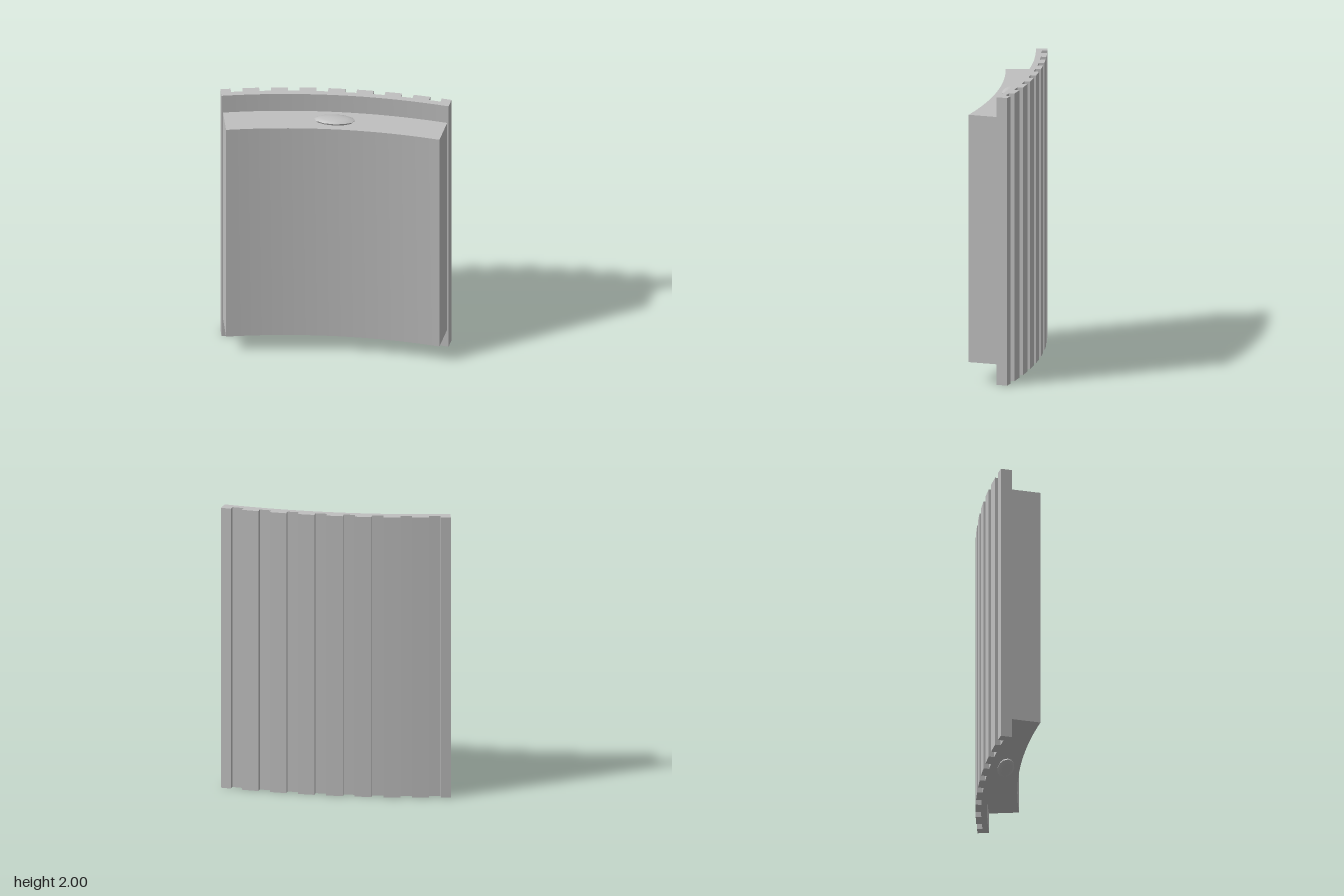
import * as THREE from 'three';
import { toCreasedNormals } from 'three/addons/utils/BufferGeometryUtils.js';

// Shared centre of all the arcs, in front of the panel
const CENTRE_Z = 4.185;
const R_FRONT = 4.08, R_JOIN = 4.285, R_GROOVE = 4.325, R_RIB = 4.363;

// Plan point at an angle on an arc (shape y becomes -z once laid flat)
const polar = (r, a) => new THREE.Vector2(r * Math.sin(a), r * Math.cos(a) - CENTRE_Z);

function arc(r, from, to, steps) {
  const points = [];
  for (let i = 0; i <= steps; i++) points.push(polar(r, from + (to - from) * i / steps));
  return points;
}

// Extrude a plan outline upwards from y0 to y1
function upright(points, y0, y1) {
  const geometry = new THREE.ExtrudeGeometry(new THREE.Shape(points), { depth: y1 - y0, bevelEnabled: false });
  geometry.rotateX(-Math.PI / 2).translate(0, y0, 0);
  return toCreasedNormals(geometry, 0.2);
}

export function createModel() {
  const group = new THREE.Group();
  const grey = new THREE.MeshStandardMaterial({ color: 0xc0c0c0 });
  grey.name = 'grey';

  const add = (name, geometry) => {
    const mesh = new THREE.Mesh(geometry, grey);
    mesh.name = name;
    group.add(mesh);
    return mesh;
  };

  // Thick curved block at the front
  const blockHalf = 0.179;
  add('curvedBlock', upright([
    ...arc(R_FRONT, -blockHalf, blockHalf, 24),
    ...arc(R_JOIN, blockHalf, -blockHalf, 24),
  ], 0.14, 1.86));

  // Taller backing plate with nine vertical ribs
  const plateHalf = 0.1814, pitch = 0.0447, ribHalf = 0.0132;
  const outline = arc(R_JOIN, -plateHalf, plateHalf, 24);
  for (let i = 4; i >= -4; i--) {
    const right = Math.min(i * pitch + ribHalf, plateHalf);
    const left = Math.max(i * pitch - ribHalf, -plateHalf);
    if (i < 4) outline.push(polar(R_GROOVE, right));
    outline.push(polar(R_RIB, right), polar(R_RIB, left));
    if (i > -4) outline.push(polar(R_GROOVE, left));
  }
  add('ribbedBackPlate', upright(outline, 0, 2));

  // Flattened oval studs on the top and bottom of the block
  const profile = [[0.125, -0.005], [0.14, 0.013], [0.122, 0.021], [0.09, 0.027], [0.05, 0.031], [0, 0.033]]
    .map(([x, y]) => new THREE.Vector2(x, y));
  const dome = toCreasedNormals(new THREE.LatheGeometry(profile, 12, Math.PI / 2).scale(1, 1, 0.41), 0.9);
  add('topStud', dome).position.set(0, 1.86, 0.007);
  const bottomStud = add('bottomStud', dome);
  bottomStud.position.set(0, 0.14, 0.007);
  bottomStud.rotation.z = Math.PI;

  return group;
}
